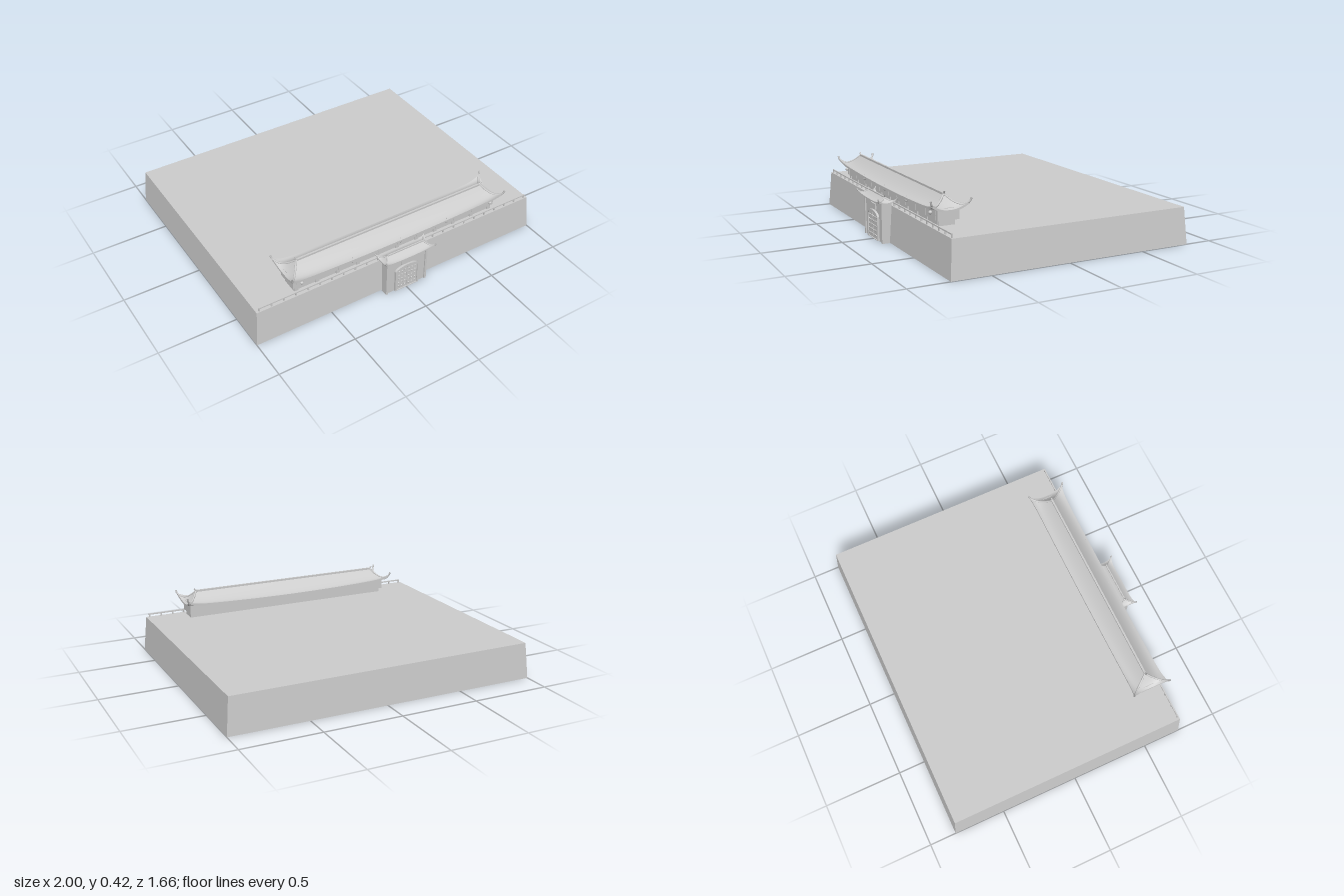
import * as THREE from 'three';

const mat = new THREE.MeshStandardMaterial({ color: 0xcccccc, side: THREE.DoubleSide });

function add(parent, name, geometry, x = 0, y = 0, z = 0) {
  const mesh = new THREE.Mesh(geometry, mat);
  mesh.name = name;
  mesh.position.set(x, y, z);
  parent.add(mesh);
  return mesh;
}

// Box given by its extents
function block(parent, name, x0, x1, y0, y1, z0, z1) {
  return add(parent, name, new THREE.BoxGeometry(x1 - x0, y1 - y0, z1 - z0),
    (x0 + x1) / 2, (y0 + y1) / 2, (z0 + z1) / 2);
}

// Surface from rows of points
function gridSurface(point, nu, nv) {
  const pos = [], idx = [];
  for (let j = 0; j <= nv; j++)
    for (let i = 0; i <= nu; i++) pos.push(...point(i, j));
  for (let j = 0; j < nv; j++)
    for (let i = 0; i < nu; i++) {
      const a = j * (nu + 1) + i, b = a + nu + 1;
      idx.push(a, b, a + 1, a + 1, b, b + 1);
    }
  const g = new THREE.BufferGeometry();
  g.setAttribute('position', new THREE.Float32BufferAttribute(pos, 3));
  g.setIndex(idx);
  g.computeVertexNormals();
  return g;
}

const tube = (points, r) => new THREE.TubeGeometry(
  new THREE.CatmullRomCurve3(points.map(p => new THREE.Vector3(...p))), 24, r, 8, false);

// Concave hipped roof with upturned corners, centred on its own x and z
function hipRoof(name, o) {
  const roof = new THREE.Group();
  roof.name = name;

  // u runs along the eave, t from ridge to eave
  const surface = (u, t, long, drop = 0) => {
    const a = Math.abs(u);
    const flick = a ** (long ? o.longPower : 3);
    const lift = o.sag * u * u + o.lift * flick;
    const y = o.ridgeY - (o.ridgeY - o.eaveY) * (1 - (1 - t) ** 1.5) + lift * t ** 4 - drop;
    const push = o.push * flick * t ** 3;
    const sx = o.ridgeX + (o.eaveX - o.ridgeX) * t + push;
    const sz = o.eaveZ * t + push;
    return long ? [sx * u, y, sz] : [sx, y, sz * u];
  };

  // Profile goes down the top, round the rim and back under
  const profile = [];
  for (let i = 0; i <= 10; i++) profile.push([i / 10, 0]);
  profile.push([1, 0], [1, o.thick], [1, o.thick]);
  for (let i = 9; i >= 2; i--) profile.push([i / 10, o.thick]);

  for (const long of [true, false])
    for (const side of [1, -1]) {
      const n = long ? 40 : 16;
      const slope = add(roof, long ? 'longRoofSlope' : 'endRoofSlope', gridSurface((i, j) => {
        const u = Math.sin((i / n - 0.5) * Math.PI);
        return surface(u, profile[j][0], long, profile[j][1]);
      }, n, profile.length - 1));
      if (side < 0) slope.rotation.y = Math.PI;
    }

  // Hip ribs ending in upturned horns
  for (const sx of [1, -1])
    for (const sz of [1, -1]) {
      const pts = [];
      for (let i = 0; i <= 8; i++) {
        const [x, y, z] = surface(1, i / 8, true);
        pts.push([x * sx, y, z * sz]);
      }
      const [x, y, z] = surface(1, 1, true);
      pts.push([(x + o.tip * 0.3) * sx, y + o.tip, (z + o.tip * 0.3) * sz]);
      add(roof, 'hipRib', tube(pts, o.rib));
    }

  // Ridge beam with raised ends
  block(roof, 'ridgeBeam', -o.ridgeX, o.ridgeX, o.ridgeY - o.rib, o.ridgeY + o.rib, -o.rib, o.rib);
  for (const s of [1, -1])
    add(roof, 'ridgeHorn', tube([
      [s * (o.ridgeX - 0.03), o.ridgeY, 0],
      [s * o.ridgeX, o.ridgeY + o.rib * 0.6, 0],
      [s * (o.ridgeX + o.rib * 1.8), o.ridgeY + o.rib * 2.4, 0]], o.rib * 0.9));
  return roof;
}

// Sloped platform, open underneath
function buildPlatform(parent) {
  const g = new THREE.BoxGeometry(2, 0.23, 1.575);
  const p = g.attributes.position;
  for (let i = 0; i < p.count; i++)
    if (p.getY(i) > 0) p.setXYZ(i, p.getX(i) * 0.98, p.getY(i), p.getZ(i) * 0.979);
  const idx = Array.from(g.index.array);
  idx.splice(18, 6);
  g.clearGroups();
  g.setIndex(idx);
  g.computeVertexNormals();
  add(parent, 'platform', g, 0, 0.115, -0.0425);
}

// Railing along the front edge
function buildRailing(parent) {
  const railing = new THREE.Group();
  railing.name = 'railing';
  parent.add(railing);
  block(railing, 'topRail', -0.962, 0.962, 0.246, 0.254, 0.714, 0.722);
  for (let i = 0; i <= 24; i++) {
    const x = -0.96 + i * 0.08;
    block(railing, 'railPost', x - 0.004, x + 0.004, 0.228, 0.254, 0.714, 0.722);
  }
}

function buildHall(parent) {
  const hall = new THREE.Group();
  hall.name = 'hall';
  parent.add(hall);
  block(hall, 'lowerStorey', -0.715, 0.715, 0.228, 0.262, 0.583, 0.681);
  block(hall, 'upperStorey', -0.725, 0.725, 0.26, 0.332, 0.557, 0.694);

  // Pilasters dividing the front
  for (let i = 0; i <= 10; i++) {
    const x = -0.7 + i * 0.14;
    block(hall, 'pilaster', x - 0.004, x + 0.004, 0.262, 0.33, 0.69, 0.697);
    block(hall, 'lowerColumn', x - 0.012, x + 0.012, 0.228, 0.262, 0.678, 0.688);
  }

  // Lanterns under the front eave
  for (let i = -2; i <= 2; i++) {
    add(hall, 'lantern', new THREE.SphereGeometry(0.011, 14, 10), i * 0.34, 0.306, 0.716);
    add(hall, 'lanternCord', new THREE.CylinderGeometry(0.002, 0.002, 0.02, 6), i * 0.34, 0.322, 0.716);
  }

  const roof = hipRoof('hallRoof', {
    ridgeX: 0.66, ridgeY: 0.398, eaveX: 0.742, eaveZ: 0.106, eaveY: 0.322,
    sag: 0.018, lift: 0.024, longPower: 20, push: 0.012, thick: 0.013, tip: 0.02, rib: 0.006,
  });
  roof.position.z = 0.624;
  hall.add(roof);
}

// Arched outline for the door
function archShape(w, y0, spring, rise) {
  const s = new THREE.Shape();
  s.moveTo(-w, y0);
  s.lineTo(w, y0);
  s.lineTo(w, spring);
  s.absellipse(0, spring, w, rise, 0, Math.PI, false);
  s.lineTo(-w, y0);
  return s;
}

function buildGate(parent) {
  const gate = new THREE.Group();
  gate.name = 'gate';
  parent.add(gate);
  block(gate, 'gateBody', -0.14, 0.14, 0, 0.25, 0.73, 0.789);
  for (const s of [1, -1])
    block(gate, 'gatePillar', s * 0.14 - 0.007, s * 0.14 + 0.007, 0, 0.25, 0.75, 0.797);

  // Arch surround with the double door inside
  const frame = archShape(0.085, 0.004, 0.15, 0.034);
  frame.holes.push(archShape(0.073, 0.008, 0.15, 0.022));
  add(gate, 'doorFrame', new THREE.ExtrudeGeometry(frame,
    { depth: 0.015, bevelEnabled: false, curveSegments: 16 }), 0, 0, 0.788);
  add(gate, 'doorLeaves', new THREE.ExtrudeGeometry(archShape(0.073, 0.008, 0.15, 0.022),
    { depth: 0.009, bevelEnabled: false, curveSegments: 16 }), 0, 0, 0.788);
  block(gate, 'doorSeam', -0.0015, 0.0015, 0.008, 0.168, 0.796, 0.799);

  // Door studs
  for (let r = 0; r < 5; r++)
    for (let c = 0; c < 3; c++)
      for (const s of [1, -1])
        add(gate, 'doorStud', new THREE.SphereGeometry(0.0055, 10, 8),
          s * (0.014 + c * 0.022), 0.03 + r * 0.029, 0.797);

  block(gate, 'blankPlaque', -0.04, 0.04, 0.19, 0.226, 0.786, 0.797);

  const roof = hipRoof('gateRoof', {
    ridgeX: 0.128, ridgeY: 0.285, eaveX: 0.168, eaveZ: 0.05, eaveY: 0.254,
    sag: 0.006, lift: 0.014, longPower: 8, push: 0.008, thick: 0.008, tip: 0.012, rib: 0.004,
  });
  roof.position.z = 0.769;
  gate.add(roof);
}

export function createModel() {
  const model = new THREE.Group();
  model.name = 'fortressGate';
  buildPlatform(model);
  buildRailing(model);
  buildHall(model);
  buildGate(model);
  return model;
}
